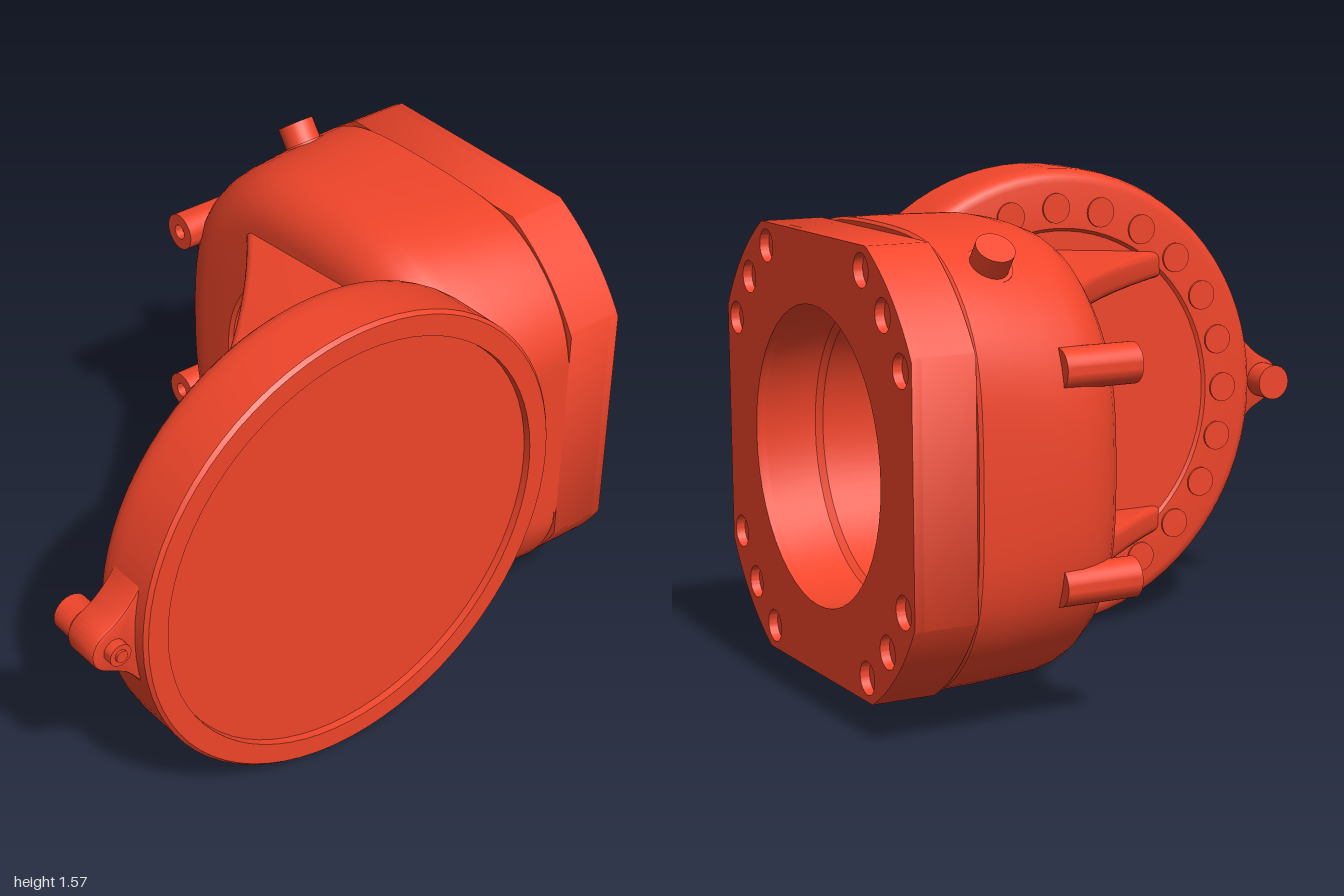
import * as THREE from 'three';
import { toCreasedNormals } from 'three/addons/utils/BufferGeometryUtils.js';

const CY = 0.785;   // height of both main axes
const DX = -0.07;   // x of the disc axis
const material = new THREE.MeshStandardMaterial({ color: 0xf0452a });

export function createModel() {
  const group = new THREE.Group();

  const add = (name, geometry, x = 0, y = 0, z = 0) => {
    const mesh = new THREE.Mesh(toCreasedNormals(geometry, 0.6), material);
    mesh.name = name;
    mesh.position.set(x, y, z);
    group.add(mesh);
    return mesh;
  };
  // Cylinder between two points
  const rod = (name, from, to, r, sides = 24) => {
    const a = new THREE.Vector3(...from), b = new THREE.Vector3(...to);
    const dir = b.clone().sub(a);
    const mesh = add(name, new THREE.CylinderGeometry(r, r, dir.length(), sides));
    mesh.position.copy(a).add(b).multiplyScalar(0.5);
    mesh.quaternion.setFromUnitVectors(new THREE.Vector3(0, 1, 0), dir.normalize());
  };
  const circlePath = (x, y, r) => new THREE.Path().absarc(x, y, r, 0, Math.PI * 2, true);

  // Round disc with a shallow front recess and a small rounded back edge
  const profile = [
    [0, 0.46], [0.575, 0.46], [0.585, 0.45], [0.735, 0.45], [0.757, 0.456], [0.772, 0.472], [0.78, 0.5],
    [0.783, 0.54], [0.783, 0.69], [0.772, 0.702], [0.702, 0.702], [0.7, 0.678], [0, 0.678],
  ].map(([r, z]) => new THREE.Vector2(r, z));
  const disc = new THREE.LatheGeometry(profile, 72);
  disc.rotateX(Math.PI / 2);
  add('disc', disc, DX, CY, 0);

  // Screw heads round the back of the disc, clear of the housing
  for (let deg = 75; deg <= 285; deg += 15) {
    const a = deg * Math.PI / 180;
    const x = DX + 0.652 * Math.cos(a), y = CY + 0.652 * Math.sin(a);
    rod('discScrew', [x, y, 0.47], [x, y, 0.443], 0.05);
  }

  // Housing: loops along x, near square at the flange and near round at the back,
  // outside first and then back through the bore
  const outer = (round, inset) => (t) => {
    const p = 18, c = Math.abs(Math.cos(t)), s = Math.abs(Math.sin(t));
    return (((c / 0.71) ** p + (s / 0.71) ** p + (1 / round) ** p) ** (-1 / p)) - inset;
  };
  const bore = (r) => () => r;
  const loops = [[0.8, bore(0.46)], [0.8, outer(0.785, 0.015)], [0.79, outer(0.785, 0.006)],
    [0.68, outer(0.777, 0.003)], [0.56, outer(0.762, 0)], [0.46, outer(0.75, -0.002)]];
  for (let k = 1; k <= 6; k++) {
    const a = k / 6 * Math.PI / 2;
    loops.push([0.46 - 0.17 * Math.sin(a), outer(0.75 - 0.01 * k / 6, 0.16 * (1 - Math.cos(a)))]);
  }
  loops.push([0.29, bore(0.4)], [0.3, bore(0.387)], [0.33, bore(0.387)], [0.335, bore(0.4)],
    [0.36, bore(0.405)], [0.36, bore(0.44)], [0.78, bore(0.445)], [0.8, bore(0.46)]);
  const N = 96, pos = [], index = [];
  loops.forEach(([x, radius], j) => {
    for (let i = 0; i < N; i++) {
      const t = i / N * Math.PI * 2, r = radius(t);
      pos.push(x, r * Math.cos(t), Math.min(r * Math.sin(t), 0.675));
      if (j === loops.length - 1) continue;
      const a = j * N + i, c = j * N + (i + 1) % N;
      index.push(a, a + N, c, c, a + N, c + N);
    }
  });
  const housing = new THREE.BufferGeometry();
  housing.setAttribute('position', new THREE.Float32BufferAttribute(pos, 3));
  housing.setIndex(index);
  add('housing', housing, 0, CY, 0);

  // Flange: circle clipped by four flats, the outer layer carrying screw holes
  const flangeShape = () => {
    const shape = new THREE.Shape(), R = 0.775, a = Math.acos(0.675 / R);
    for (let q = 0; q < 4; q++) {
      shape.absarc(0, 0, R, q * Math.PI / 2 + a, (q + 1) * Math.PI / 2 - a, false);
    }
    shape.closePath();
    shape.holes.push(circlePath(0, 0, 0.46));
    return shape;
  };
  const flangeLayer = (name, shape, x0, x1) => {
    const g = new THREE.ExtrudeGeometry(shape, { depth: x1 - x0, bevelEnabled: false, curveSegments: 24 });
    g.rotateY(Math.PI / 2);
    add(name, g, x0, CY, 0);
  };
  flangeLayer('flangeBase', flangeShape(), 0.8, 0.97);
  const face = flangeShape();
  for (const sx of [-1, 1]) for (const sy of [-1, 1]) {
    for (const [z, y] of [[0.347, 0.602], [0.49, 0.49], [0.602, 0.347]]) {
      face.holes.push(circlePath(sx * z, sy * y, 0.051));
    }
  }
  flangeLayer('flangeFace', face, 0.97, 1.0);

  // Two triangular ribs bracing the disc, their outer sides flaring towards the corner
  const ribShape = new THREE.Shape();
  ribShape.moveTo(-0.48, -0.46);
  ribShape.quadraticCurveTo(-0.02, -0.11, 0.295, 0.31);
  ribShape.lineTo(0.36, 0.31);
  ribShape.lineTo(0.36, -0.5);
  ribShape.lineTo(-0.48, -0.5);
  for (const side of [-1, 1]) {
    const g = new THREE.ExtrudeGeometry(ribShape, {
      depth: 0.04, bevelEnabled: true, bevelSize: 0.02, bevelThickness: 0.025, bevelSegments: 4, bevelOffset: -0.02,
    });
    g.translate(0, 0, -0.02);
    g.rotateX(-Math.PI / 2); // shape y becomes -z
    const p = g.attributes.position;
    for (let i = 0; i < p.count; i++) {
      const depth = Math.max(0, p.getX(i) + p.getZ(i));
      if (p.getY(i) * side > 0) p.setY(i, p.getY(i) + side * 0.07 * depth);
    }
    add('rib', g, 0, CY + side * 0.44, 0);
  }

  // Concave fillet between disc back and housing wall
  const fillet = new THREE.Shape();
  fillet.moveTo(0.23, -0.462);
  fillet.lineTo(0.23, -0.45);
  fillet.quadraticCurveTo(0.29, -0.45, 0.29, -0.39);
  fillet.lineTo(0.3, -0.39);
  fillet.lineTo(0.3, -0.462);
  const filletGeometry = new THREE.ExtrudeGeometry(fillet, { depth: 0.8, bevelEnabled: false });
  filletGeometry.rotateX(-Math.PI / 2);
  add('cornerFillet', filletGeometry, 0, CY - 0.4, 0);

  // Hollow bosses at the back of the housing
  for (const side of [-1, 1]) {
    const boss = new THREE.Shape().absarc(0, 0, 0.062, 0, Math.PI * 2, false);
    boss.holes.push(circlePath(0, 0, 0.025));
    const g = new THREE.ExtrudeGeometry(boss, { depth: 0.25, bevelEnabled: false, curveSegments: 20 });
    g.rotateY(Math.PI / 2);
    add('backBoss', g, 0.272, CY + side * 0.32, -0.643);
    rod('bossScrew', [0.3, CY + side * 0.32, -0.643], [0.5, CY + side * 0.32, -0.643], 0.03, 12);
  }

  // Slanted plug on the top rear corner
  const tilt = 0.655;
  const along = (r) => [0.65, CY + r * Math.cos(tilt), -r * Math.sin(tilt)];
  rod('plugCollar', along(0.68), along(0.765), 0.073);
  rod('plug', along(0.68), along(0.835), 0.06);

  // Side lug with its bolt and nut
  const lug = new THREE.Shape();
  lug.moveTo(-0.78, 1.06);
  lug.quadraticCurveTo(-0.85, 0.9, -0.96, 0.852);
  lug.absarc(-0.925, CY, 0.075, 2.05, 4.3, false);
  lug.lineTo(-0.89, 0.68);
  lug.quadraticCurveTo(-0.83, 0.63, -0.79, 0.52);
  lug.lineTo(-0.7, 0.52);
  lug.lineTo(-0.7, 1.06);
  add('lug', new THREE.ExtrudeGeometry(lug, {
    depth: 0.11, bevelEnabled: true, bevelSize: 0.01, bevelThickness: 0.01, bevelOffset: -0.01, bevelSegments: 2,
  }), 0, 0, 0.53);
  rod('lugBolt', [-0.925, CY, 0.45], [-0.925, CY, 0.682], 0.037);
  rod('lugNut', [-0.925, CY, 0.432], [-0.925, CY, 0.51], 0.06);
  rod('lugBoltTip', [-0.925, CY, 0.66], [-0.925, CY, 0.69], 0.02);

  return group;
}
